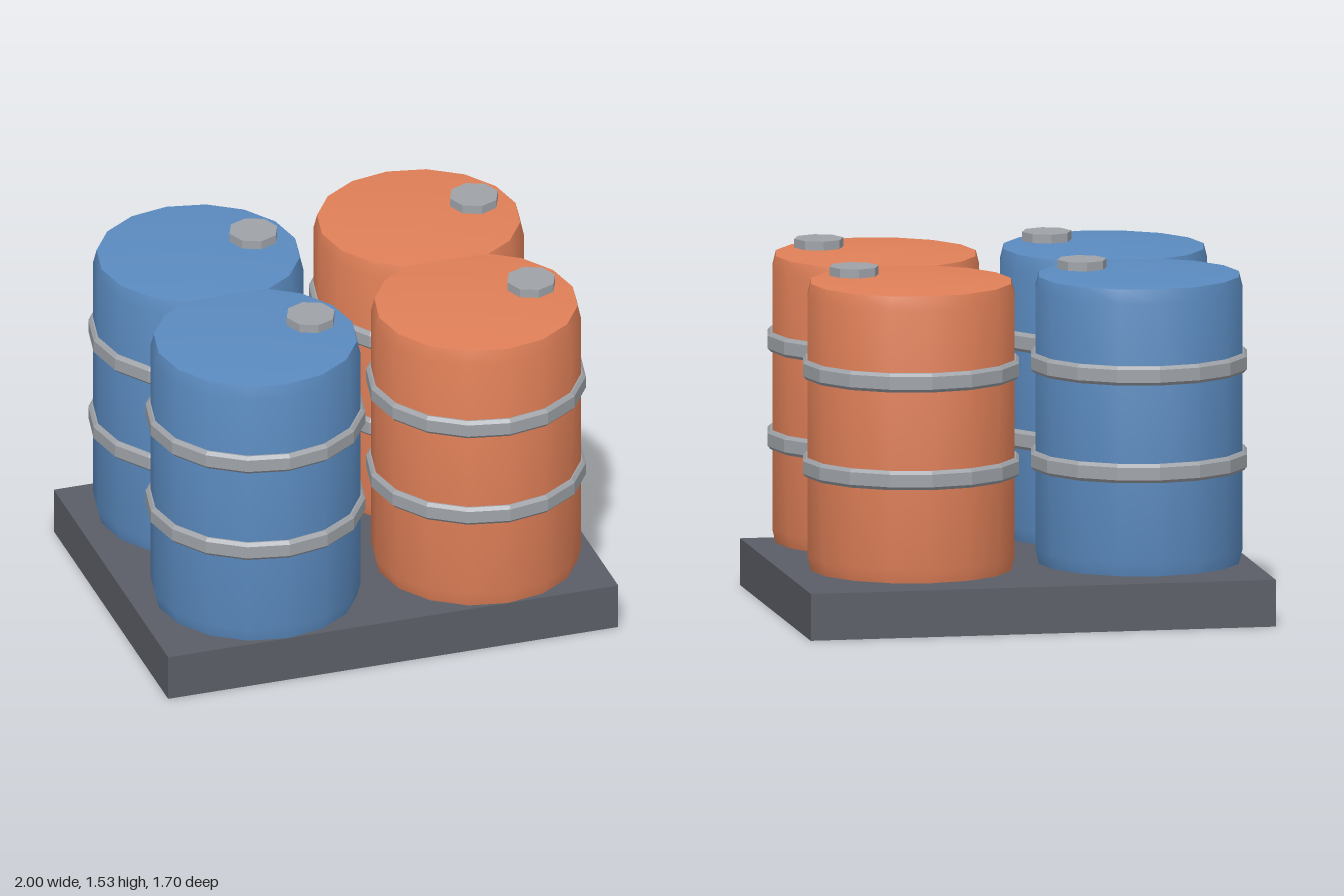
import * as THREE from 'three';
import { toCreasedNormals } from 'three/addons/utils/BufferGeometryUtils.js';

const SIDES = 16;

function lathe(points, closed = false) {
  const profile = points.map(([r, y]) => new THREE.Vector2(r, y));
  if (closed) profile.push(profile[0].clone());
  return new THREE.LatheGeometry(profile, SIDES);
}

export function createModel() {
  const model = new THREE.Group();
  model.name = 'drumsOnPallet';

  const blue = new THREE.MeshStandardMaterial({ color: 0x5b8bc0 });
  const orange = new THREE.MeshStandardMaterial({ color: 0xe08058 });
  const steel = new THREE.MeshStandardMaterial({ color: 0x9fa3a8, flatShading: true });
  const dark = new THREE.MeshStandardMaterial({ color: 0x5b5e66 });

  const add = (parent, name, geometry, material, x, y, z) => {
    const mesh = new THREE.Mesh(geometry, material);
    mesh.name = name;
    mesh.position.set(x, y, z);
    parent.add(mesh);
  };

  // Solid base slab
  add(model, 'pallet', new THREE.BoxGeometry(2, 0.2, 1.54), dark, 0, 0.1, -0.015);

  // Drum shell: shallow conical ends, tapered rims, smooth wall
  const shell = toCreasedNormals(lathe([
    [0, 0.205], [0.43, 0.235], [0.445, 0.295],
    [0.445, 1.4], [0.43, 1.46], [0, 1.49],
  ]), 0.6);

  // Hoop with chamfered edges
  const hoop = lathe([
    [0.43, -0.041], [0.452, -0.041], [0.465, -0.027],
    [0.465, 0.027], [0.452, 0.041], [0.43, 0.041],
  ], true);

  const cap = new THREE.CylinderGeometry(0.106, 0.106, 0.038, 8);

  // Two rows of two drums
  for (const [side, x, paint] of [['right', -0.49, blue], ['left', 0.49, orange]]) {
    for (const [end, z] of [['Front', 0.385], ['Back', -0.385]]) {
      const drum = new THREE.Group();
      drum.name = `${side}${end}Drum`;
      drum.position.set(x, 0, z);
      add(drum, 'shell', shell, paint, 0, 0, 0);
      add(drum, 'lowerHoop', hoop, steel, 0, 0.677, 0);
      add(drum, 'upperHoop', hoop, steel, 0, 1.094, 0);
      add(drum, 'fillerCap', cap, steel, 0.245, 1.513, 0);
      model.add(drum);
    }
  }
  return model;
}
